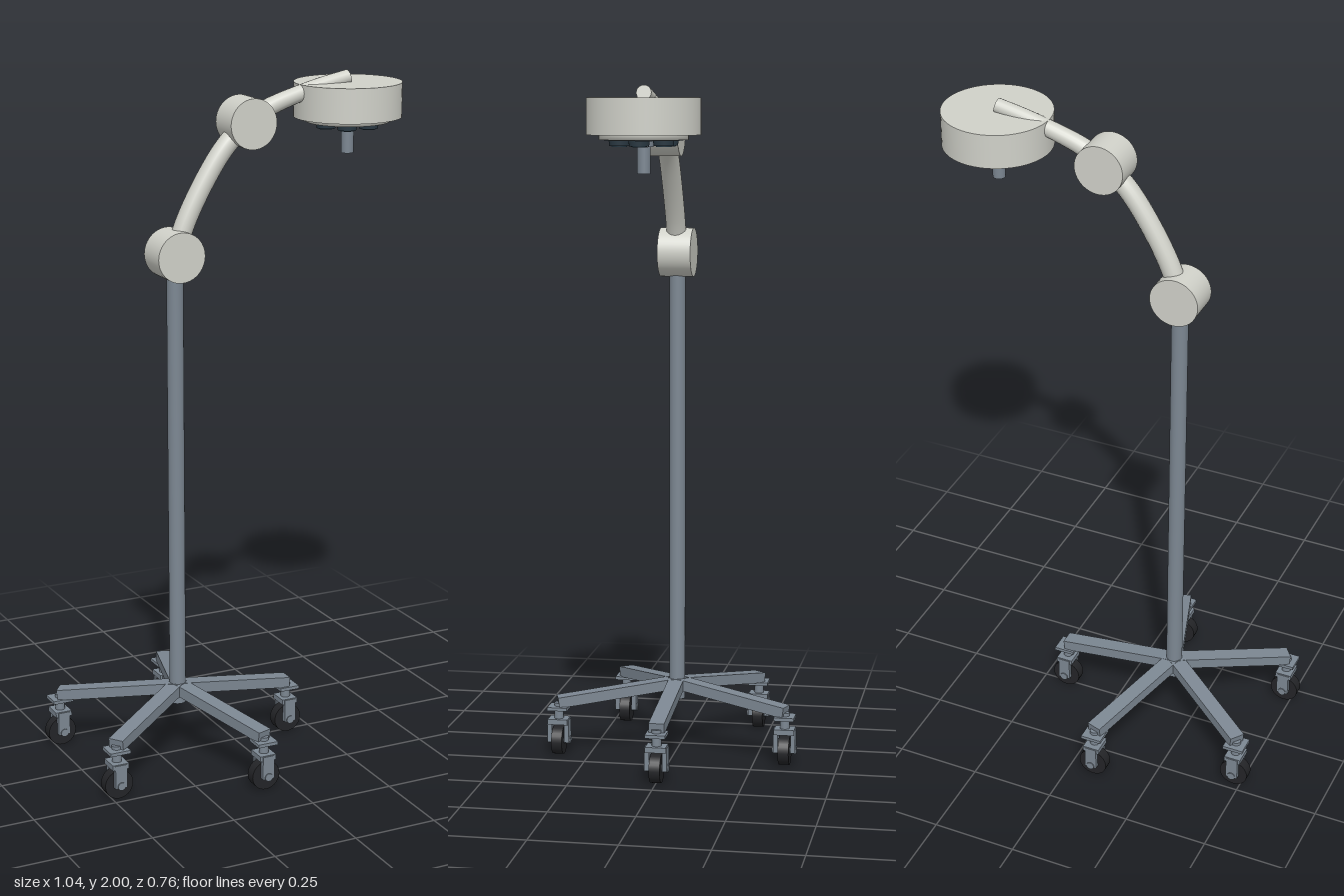
import * as THREE from 'three';

const mat = (name, color, extra = {}) => {
  const m = new THREE.MeshStandardMaterial({ color, ...extra });
  m.name = name;
  return m;
};

export function createModel() {
  const root = new THREE.Group();
  root.name = 'examinationLamp';
  const shell = mat('warm grey shell', 0xd0d1c9);
  const steel = mat('blue grey steel', 0x7c8792);
  const rubber = mat('black rubber', 0x232427);
  const dark = mat('dark lamp face', 0x2b3a44);
  const lens = mat('teal lens', 0x35505f);

  const add = (name, geo, material, pos = [0, 0, 0], parent = root) => {
    const mesh = new THREE.Mesh(geo, material);
    mesh.name = name;
    mesh.position.set(...pos);
    parent.add(mesh);
    return mesh;
  };
  const cyl = (r, h, seg = 32, r2 = r) => new THREE.CylinderGeometry(r, r2, h, seg);
  const px = -0.188; // stand axis

  // Stand: pole and five sloping legs, each ending on a caster
  add('pole', cyl(0.024, 1.33), steel, [px, 0.825, 0]);
  const reach = 0.36;
  for (let i = 0; i < 5; i++) {
    const a = (i * Math.PI * 2) / 5;
    const leg = new THREE.Group();
    leg.name = 'leg';
    leg.position.set(px, 0.207, 0);
    leg.rotation.y = -a;
    const bar = add('legBar', new THREE.BoxGeometry(0.367, 0.032, 0.046), steel, [0.181, -0.023, 0], leg);
    bar.rotation.z = -0.13;
    root.add(leg);
    addCaster(px + reach * Math.cos(a), reach * Math.sin(a));
  }

  // Caster: mounting plate, stem, fork, wheel; all roll along x
  function addCaster(x, z) {
    const c = new THREE.Group();
    c.name = 'caster';
    c.position.set(x, 0, z);
    root.add(c);
    add('casterPlate', new THREE.BoxGeometry(0.062, 0.01, 0.06), steel, [0, 0.143, 0], c);
    add('casterStem', cyl(0.014, 0.06, 16), steel, [0, 0.128, 0], c);
    add('forkCrown', new THREE.BoxGeometry(0.05, 0.016, 0.06), steel, [0, 0.102, 0], c);
    for (const s of [-1, 1])
      add('forkCheek', new THREE.BoxGeometry(0.036, 0.07, 0.014), steel, [0, 0.073, s * 0.026], c);
    const wheel = add('wheel', cyl(0.043, 0.032, 28), rubber, [0, 0.043, 0], c);
    wheel.rotation.x = Math.PI / 2;
    const axle = add('axle', cyl(0.012, 0.072, 14), steel, [0, 0.044, 0], c);
    axle.rotation.x = Math.PI / 2;
  }

  // Round joints, axes along z
  for (const [name, x, y] of [['lowerJoint', px, 1.51], ['upperJoint', 0.037, 1.87]]) {
    const j = add(name, cyl(0.072, 0.098, 48), shell, [x, y, 0]);
    j.rotation.x = Math.PI / 2;
  }

  // Curved arms that taper along their length, with a flat end cap
  const arm = (name, pts, r0, r1) => {
    const curve = new THREE.CatmullRomCurve3(pts.map(([x, y]) => new THREE.Vector3(x, y, 0)));
    const n = 28, sides = 20;
    const geo = new THREE.TubeGeometry(curve, n, r0, sides);
    const p = geo.attributes.position, v = new THREE.Vector3();
    for (let i = 0; i <= n; i++) {
      const c = curve.getPointAt(i / n), k = 1 + ((r1 / r0 - 1) * i) / n;
      for (let j = 0; j <= sides; j++) {
        const id = i * (sides + 1) + j;
        v.fromBufferAttribute(p, id).sub(c).multiplyScalar(k).add(c);
        p.setXYZ(id, v.x, v.y, v.z);
      }
    }
    add(name, geo, shell);
    const end = curve.getPointAt(1);
    const cap = add(name + 'Cap', new THREE.CircleGeometry(r1, sides), shell, end.toArray());
    cap.lookAt(end.clone().add(curve.getTangentAt(1)));
  };
  arm('lowerArm', [[px, 1.51], [-0.15, 1.61], [-0.085, 1.728], [-0.03, 1.805], [0.037, 1.87]], 0.029, 0.029);
  arm('upperArm', [[0.037, 1.87], [0.11, 1.908], [0.2, 1.938], [0.28, 1.96], [0.362, 1.978]], 0.027, 0.021);

  // Lamp head: housing, rim ring, dark face, ring of lens pods, handle
  const head = new THREE.Group();
  head.name = 'lampHead';
  head.position.set(0.362, 0, 0);
  root.add(head);
  add('housing', cyl(0.156, 0.1, 64), shell, [0, 1.915, 0], head);
  const rim = [[0.106, 1.866], [0.106, 1.852], [0.122, 1.852], [0.122, 1.866]];
  const rimGeo = new THREE.LatheGeometry(rim.map(([x, y]) => new THREE.Vector2(x, y)), 64);
  add('rim', rimGeo, shell, [0, 0, 0], head);
  add('lampFace', cyl(0.108, 0.012, 48), dark, [0, 1.856, 0], head);
  for (let i = 0; i < 6; i++) {
    const a = (i * Math.PI) / 3;
    const x = 0.07 * Math.cos(a), z = 0.07 * Math.sin(a);
    add('lensPod', cyl(0.029, 0.016, 24, 0.027), dark, [x, 1.844, z], head);
    add('lens', cyl(0.021, 0.004, 24), lens, [x, 1.8355, z], head);
  }
  add('handleCollar', cyl(0.026, 0.02, 24), steel, [0, 1.842, 0], head);
  add('handle', cyl(0.019, 0.09, 24, 0.018), steel, [0, 1.805, 0], head);

  return root;
}
